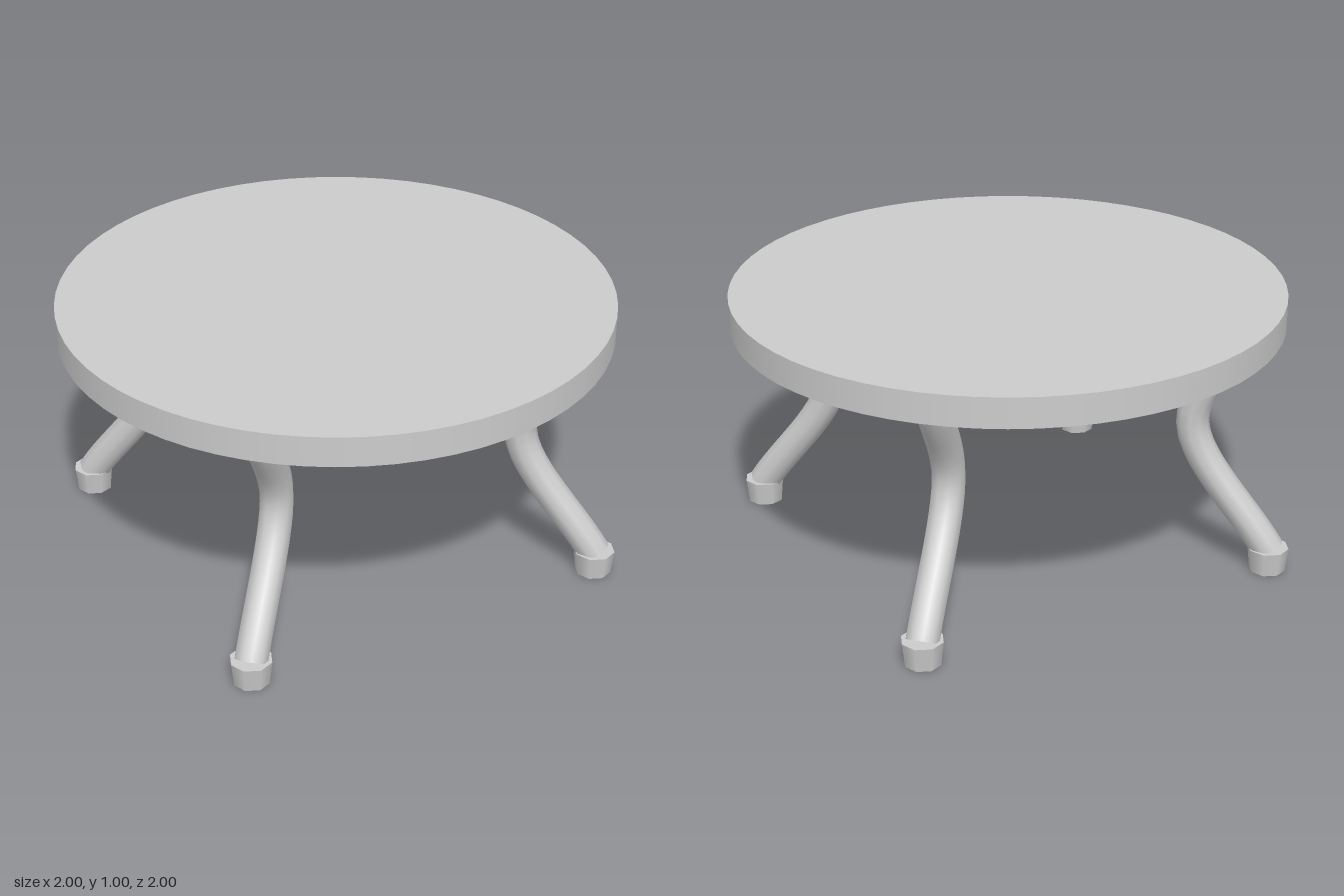
import * as THREE from 'three';

export function createModel() {
  const group = new THREE.Group();
  group.name = 'roundTable';
  const grey = new THREE.MeshStandardMaterial({ color: 0xcccccc });
  grey.name = 'lightGrey';

  const add = (parent, name, geometry) => {
    const mesh = new THREE.Mesh(geometry, grey);
    mesh.name = name;
    parent.add(mesh);
    return mesh;
  };

  // round tabletop
  add(group, 'tabletop', new THREE.CylinderGeometry(1, 1, 0.11, 64)).position.y = 0.945;

  // leg centre line, curving in below the top and out to the foot along a diagonal
  const radius = 0.06;
  const path = new THREE.CatmullRomCurve3([
    [0.6, 0.89], [0.49, 0.55], [0.7, 0.08],
  ].map(([d, y]) => new THREE.Vector3(0, y, d * Math.SQRT2)));
  const tube = new THREE.TubeGeometry(path, 20, radius, 10);
  const cap = new THREE.CircleGeometry(radius, 10);
  const foot = new THREE.CylinderGeometry(0.076, 0.066, 0.09, 8);

  for (let i = 0; i < 4; i++) {
    const leg = new THREE.Group();
    leg.name = 'leg' + (i + 1);
    leg.rotation.y = Math.PI / 4 + i * Math.PI / 2;
    add(leg, 'legTube', tube);
    // discs closing both ends of the tube
    for (const t of [0, 1]) {
      const end = add(leg, t ? 'legLowerEnd' : 'legUpperEnd', cap);
      const outward = path.getTangent(t).multiplyScalar(t ? 1 : -1);
      end.position.copy(path.getPoint(t));
      end.quaternion.setFromUnitVectors(new THREE.Vector3(0, 0, 1), outward);
    }
    // tapered eight-sided foot
    add(leg, 'foot', foot).position.set(0, 0.045, 0.7 * Math.SQRT2);
    group.add(leg);
  }
  return group;
}
